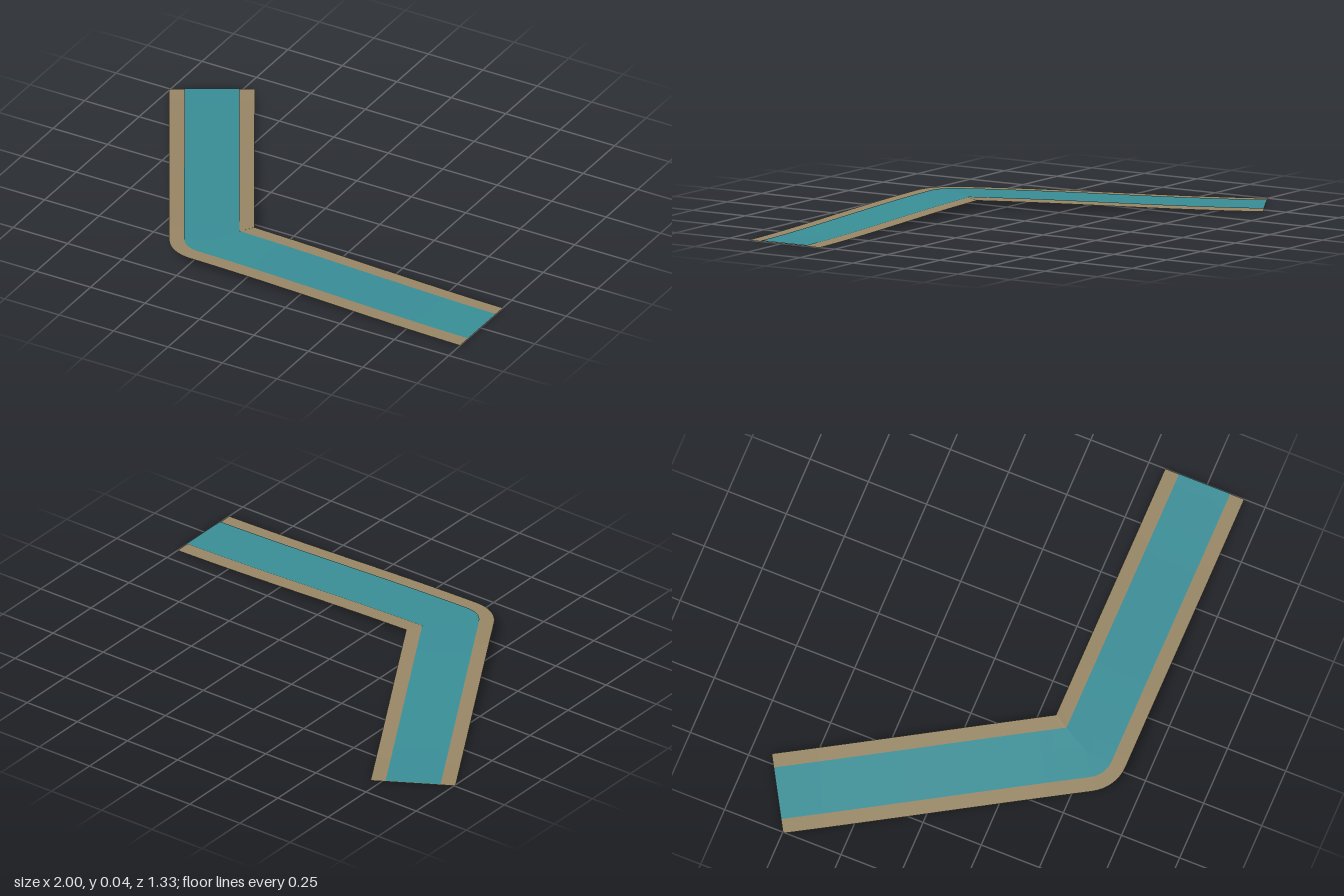
import * as THREE from 'three';

const BEND = { x: -0.238, z: 0.49 }; // centreline corner
const ARM = 1.238;                   // length of each arm
const TURN = Math.PI / 3;            // change of heading at the corner
const CREST = 0.036;

// Highest at the bend, easing down to the ground at both ends
function height(t) {
  const s = Math.min(t / ARM, 1);
  const smooth = 0.5 + 0.5 * Math.cos(Math.PI * s);
  return CREST * (0.6 * smooth + 0.4 * (1 - s));
}

// Cross-sections along the path: a straight arm, a fan round the bend, the other arm
function sections() {
  const list = [];
  const steps = 16, fan = 8;
  for (let i = steps; i > 0; i--) list.push({ angle: 0, t: (ARM * i) / steps, side: 1 });
  for (let i = 0; i <= fan; i++) list.push({ angle: (TURN * i) / fan, t: 0, side: 0 });
  for (let i = 1; i <= steps; i++) list.push({ angle: TURN, t: (ARM * i) / steps, side: -1 });
  return list;
}

// Point at offset d from the centreline (positive = inside of the bend)
function point({ angle, t, side }, d, lift) {
  const miter = d * Math.tan(TURN / 2);
  if (d > 0 && t <= miter) {
    return [BEND.x + miter, height(t) + lift, BEND.z - d];
  }
  const outX = -Math.sin(angle), outZ = Math.cos(angle);
  const dirX = outZ * side, dirZ = -outX * side;
  return [BEND.x + dirX * t - outX * d, height(t) + lift, BEND.z + dirZ * t - outZ * d];
}

// Sheet between two offsets, following the path
function strip(name, outer, inner, lift, material) {
  const rows = sections();
  const cols = 4, pos = [], index = [];
  rows.forEach((row) => {
    for (let j = 0; j <= cols; j++) {
      pos.push(...point(row, outer + ((inner - outer) * j) / cols, lift));
    }
  });
  for (let i = 0; i < rows.length - 1; i++) {
    for (let j = 0; j < cols; j++) {
      const a = i * (cols + 1) + j, b = a + cols + 1;
      index.push(a, a + 1, b, a + 1, b + 1, b);
    }
  }
  const geometry = new THREE.BufferGeometry();
  geometry.setAttribute('position', new THREE.Float32BufferAttribute(pos, 3));
  geometry.setIndex(index);
  geometry.computeVertexNormals();
  const mesh = new THREE.Mesh(geometry, material);
  mesh.name = name;
  return mesh;
}

export function createModel() {
  const sand = new THREE.MeshStandardMaterial({ color: 0x9a8866, side: THREE.DoubleSide });
  sand.name = 'sand';
  const teal = new THREE.MeshStandardMaterial({ color: 0x3a9099, side: THREE.DoubleSide });
  teal.name = 'teal';

  const group = new THREE.Group();
  group.name = 'bentChannel';
  // Sandy bed with a slightly raised band along its middle
  group.add(strip('bed', -0.17, 0.17, 0, sand));
  group.add(strip('waterBand', -0.11, 0.11, 0.003, teal));
  return group;
}
